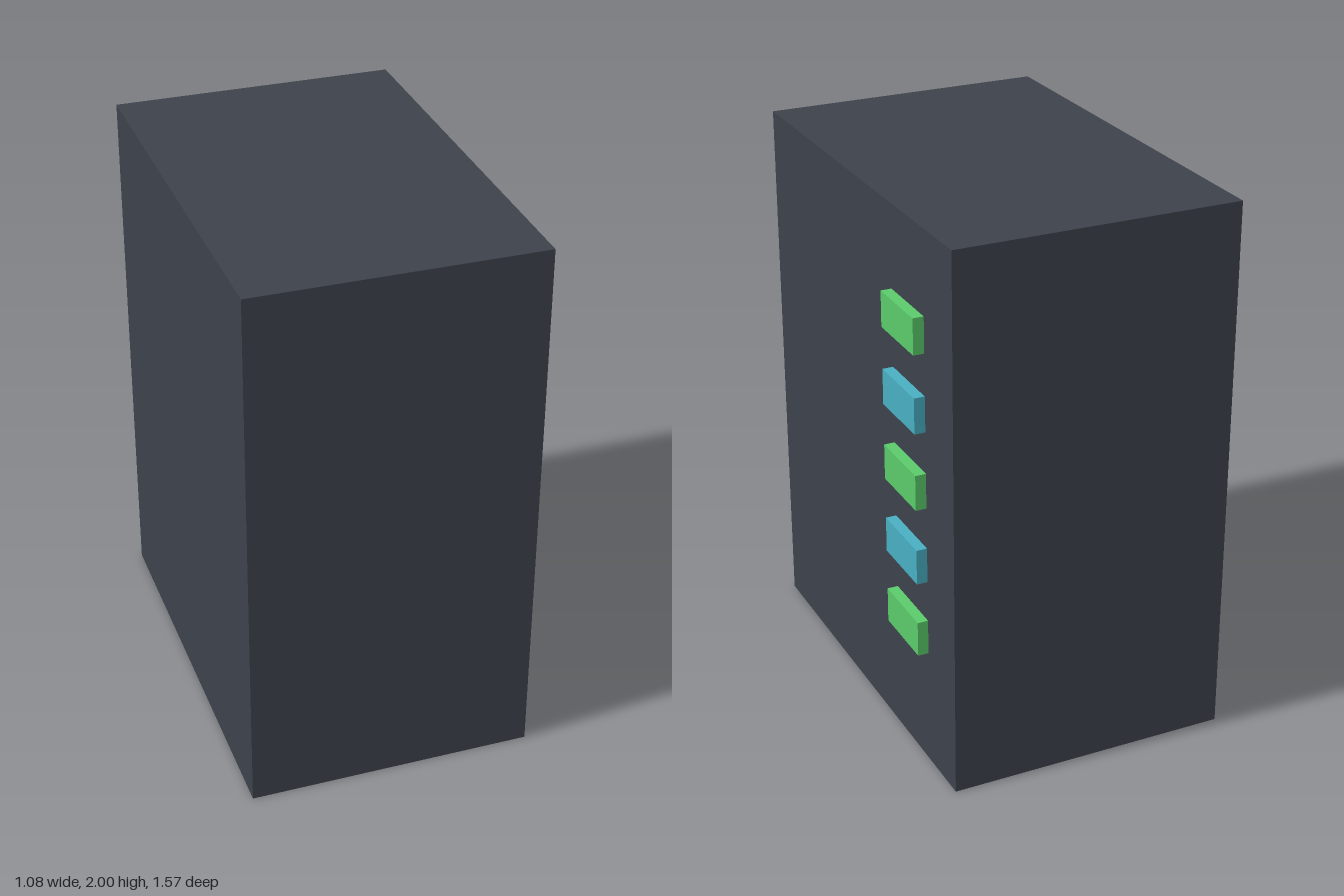
import * as THREE from 'three';

const paint = (name, color) => {
  const m = new THREE.MeshStandardMaterial({ color, side: THREE.DoubleSide });
  m.name = name;
  return m;
};

// Thin-walled box without its underside, given by its lower and upper corners
function openBox(name, material, [x0, y0, z0], [x1, y1, z1]) {
  const geometry = new THREE.BoxGeometry(x1 - x0, y1 - y0, z1 - z0);
  const index = Array.from(geometry.index.array);
  index.splice(18, 6); // the bottom face
  geometry.setIndex(index);
  geometry.clearGroups();
  geometry.translate((x0 + x1) / 2, (y0 + y1) / 2, (z0 + z1) / 2);
  const mesh = new THREE.Mesh(geometry, material);
  mesh.name = name;
  return mesh;
}

export function createModel() {
  const model = new THREE.Group();
  model.name = 'cabinet';
  const charcoal = paint('charcoal', 0x3d424b);
  const green = paint('green', 0x5bcb6b);
  const teal = paint('teal', 0x49aec2);

  // Cabinet shell, open underneath
  model.add(openBox('cabinetShell', charcoal, [-0.54, 0, -0.783], [0.5, 2, 0.783]));

  // Column of status lights on the left side, alternating in colour
  const lights = new THREE.Group();
  lights.name = 'statusLights';
  for (let i = 0; i < 5; i++) {
    const y = 0.505 + i * 0.2825;
    lights.add(openBox('statusLight', i % 2 ? teal : green,
      [0.501, y - 0.065, -0.567], [0.54, y + 0.065, -0.305]));
  }
  model.add(lights);
  return model;
}
